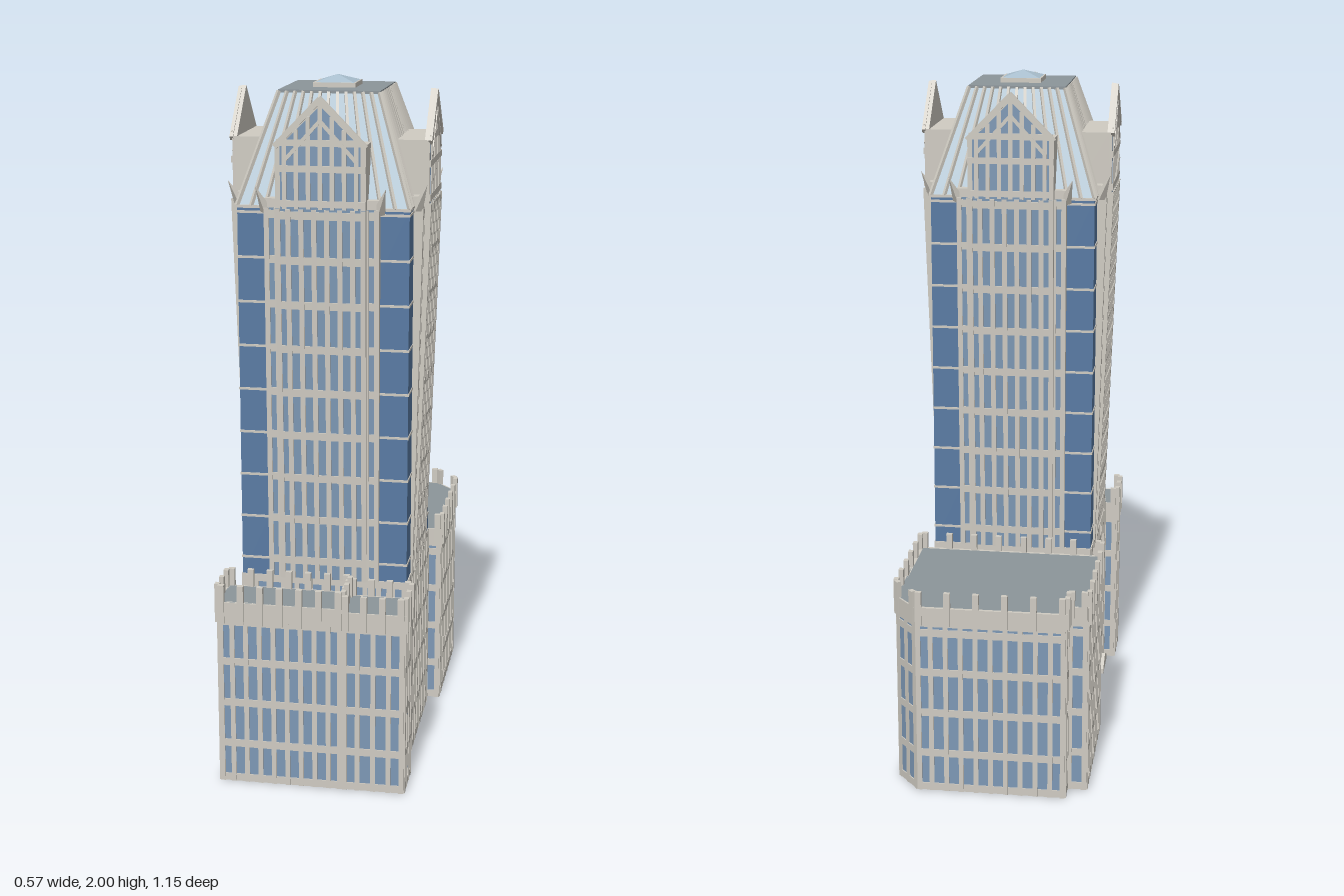
import * as THREE from 'three';
import { mergeGeometries } from 'three/addons/utils/BufferGeometryUtils.js';

const mat = (color) => new THREE.MeshStandardMaterial({ color, flatShading: true });
const STONE = mat(0xcfcbc2), GLASS = mat(0x7d98b5), DARK = mat(0x587aa3);
const ROOF = mat(0x8c959a), PALE = mat(0xa9bfce);
const TOWER_Z = 0.167, HALF = 0.24, BASE_TOP = 0.58, SHAFT_TOP = 1.66, FLOOR = 0.126;

function add(parent, name, geometry, material, x = 0, y = 0, z = 0) {
  const m = new THREE.Mesh(geometry, material);
  m.name = name;
  m.position.set(x, y, z);
  parent.add(m);
  return m;
}

const box = (w, h, d, x, y, z) => new THREE.BoxGeometry(w, h, d).translate(x, y, z);

// Square bar running from a to b
function bar(a, b, w, d) {
  const dir = b.clone().sub(a), g = new THREE.BoxGeometry(w, d, dir.length());
  const o = new THREE.Object3D();
  o.position.copy(a).add(b).multiplyScalar(0.5);
  o.lookAt(b);
  o.updateMatrix();
  return g.applyMatrix4(o.matrix);
}

// Stone grid of mullions and floor bands on a wall in the XY plane, facing +z
function grid(w, h, cols, bands, rib = 0.014, band = 0.022) {
  const parts = [];
  for (let i = 0; i <= cols; i++) {
    const edge = i === 0 ? 0.5 : i === cols ? -0.5 : 0;
    parts.push(box(rib, h, 0.006, -w / 2 + (w * i) / cols + edge * rib, h / 2, 0.001));
  }
  for (const y of bands) parts.push(box(w, band, 0.004, 0, y, 0.001));
  return mergeGeometries(parts);
}

// Prism from corners [x, z], front edge running towards +x
function prism(pts, h) {
  const shape = new THREE.Shape(pts.map(([x, z]) => new THREE.Vector2(x, -z)));
  return new THREE.ExtrudeGeometry(shape, { depth: h, bevelEnabled: false }).rotateX(-Math.PI / 2);
}

// Low wing with window walls, a parapet and upright piers
function wing(name, pts, h, bandLow, pierLow, pierTop, pitch) {
  const g = new THREE.Group();
  g.name = name;
  add(g, 'wingBody', prism(pts, h - 0.004), [ROOF, GLASS], 0, 0.004, 0);
  add(g, 'wingFloor', prism(pts, 0.006), STONE);
  pts.forEach(([ax, az], i) => {
    const [bx, bz] = pts[(i + 1) % pts.length];
    const dx = bx - ax, dz = bz - az, len = Math.hypot(dx, dz);
    const wall = new THREE.Group();
    wall.name = 'wall';
    wall.position.set((ax + bx) / 2, 0, (az + bz) / 2);
    wall.rotation.y = Math.atan2(-dz, dx);
    add(wall, 'wallGrid', grid(len, bandLow, Math.max(1, Math.round(len / 0.042)), [0.012, 0.12, 0.247, 0.373, 0.495]), STONE);
    const parts = [box(len, h - bandLow, 0.01, 0, (h + bandLow) / 2, 0)];
    const n = Math.max(1, Math.round(len / pitch));
    for (let k = 0; k <= n; k++) {
      const x = -len / 2 + 0.01 + ((len - 0.02) * k) / n;
      parts.push(box(0.018, pierTop - pierLow, 0.014, x, (pierTop + pierLow) / 2, 0.003));
    }
    add(wall, 'parapet', mergeGeometries(parts), STONE);
    g.add(wall);
  });
  return g;
}

// Bay that flares outward towards its top
function bay(side, name, w, rBottom, rTop, cols) {
  const h = SHAFT_TOP - BASE_TOP, d = 0.08;
  const geo = new THREE.BoxGeometry(w, h, d), p = geo.attributes.position;
  for (let i = 0; i < p.count; i++) {
    if (p.getZ(i) > 0 && p.getY(i) < 0) p.setZ(i, d / 2 - (rTop - rBottom));
  }
  add(side, name, geo, [STONE, STONE, ROOF, STONE, GLASS, STONE], 0, BASE_TOP + h / 2, rTop - d / 2);
  const bands = Array.from({ length: 9 }, (_, i) => 0.055 + i * FLOOR);
  const face = add(side, name + 'Grid', grid(w, h, cols, bands), STONE, 0, BASE_TOP, rBottom);
  face.rotation.x = Math.atan((rTop - rBottom) / h);
}

// Gabled dormer above the bay
function dormer(side) {
  const W = 0.125, eave = 1.835, peak = 1.965, r = 0.28;
  add(side, 'dormerBox', box(2 * W, eave - SHAFT_TOP, 0.1, 0, (eave + SHAFT_TOP) / 2, 0.22), STONE);
  const pent = (w, top, e, bottom) => new THREE.Shape([[-w, bottom], [w, bottom], [w, e], [0, top], [-w, e]]
    .map(([x, y]) => new THREE.Vector2(x, y)));
  const slab = (s, d) => new THREE.ExtrudeGeometry(s, { depth: d, bevelEnabled: false });
  add(side, 'gable', slab(pent(W, peak, eave, SHAFT_TOP), 0.014), STONE, 0, 0, r - 0.016);
  add(side, 'gableGlass', slab(pent(W - 0.014, peak - 0.025, eave - 0.005, SHAFT_TOP), 0.002), GLASS, 0, 0, r - 0.003);
  // Window bars stop under the rake of the gable
  const parts = [], top = (x) => peak - 0.02 - Math.abs(x) * (peak - eave) / W;
  for (let i = -3; i <= 3; i++) {
    const x = i * 0.033, t = top(x);
    parts.push(box(0.012, t - SHAFT_TOP, 0.004, x, (t + SHAFT_TOP) / 2, r));
  }
  for (const y of [1.675, 1.77, 1.84]) {
    const half = Math.min(W, (peak - y) * W / (peak - eave));
    parts.push(box(2 * half, 0.018, 0.004, 0, y, r));
  }
  for (const s of [-1, 1]) {
    parts.push(bar(new THREE.Vector3(s * W, eave - 0.006, r), new THREE.Vector3(0, peak - 0.008, r), 0.01, 0.016));
    parts.push(bar(new THREE.Vector3(s * 0.1, 1.79, r), new THREE.Vector3(0, 1.9, r), 0.008, 0.01));
  }
  add(side, 'gableBars', mergeGeometries(parts), STONE);
}

function towerSide(k) {
  const side = new THREE.Group();
  side.name = 'towerSide';
  side.rotation.y = (k * Math.PI) / 2;
  add(side, 'baseGrid', grid(2 * HALF, BASE_TOP, 12, [0.012, 0.12, 0.247, 0.373, 0.5, 0.572]), STONE, 0, 0, HALF);
  bay(side, 'outerBay', 0.32, 0.242, 0.263, 9);
  bay(side, 'innerBay', 0.25, 0.246, 0.28, 7);
  dormer(side);
  for (const s of [-1, 1]) {
    // Leaning spikes on the shoulders of the bay
    add(side, 'shoulder', box(0.035, 0.03, 0.05, s * 0.143, SHAFT_TOP + 0.01, 0.235), STONE);
    const spike = add(side, 'spike', new THREE.ConeGeometry(0.018, 0.08, 4), STONE, s * 0.168, SHAFT_TOP + 0.025, 0.264);
    spike.rotation.set(0.42, 0, -s * 0.3);
  }
  // Ribs fanning down the hip roof
  const ribs = [];
  for (let i = 0; i <= 12; i++) {
    const t = i / 6 - 1;
    ribs.push(bar(new THREE.Vector3(t * 0.24, SHAFT_TOP, 0.241), new THREE.Vector3(t * 0.14, 1.964, 0.141), 0.008, 0.01));
  }
  add(side, 'roofRibs', mergeGeometries(ribs), STONE);
  return side;
}

export function createModel() {
  const model = new THREE.Group();
  model.name = 'skyscraper';

  // Tower shaft
  const tower = new THREE.Group();
  tower.name = 'tower';
  tower.position.z = TOWER_Z;
  model.add(tower);
  add(tower, 'towerFloor', box(2 * HALF, 0.006, 2 * HALF, 0, 0.003, 0), STONE);
  add(tower, 'base', box(2 * HALF, BASE_TOP - 0.004, 2 * HALF, 0, BASE_TOP / 2 + 0.002, 0), GLASS);
  add(tower, 'shaft', box(2 * HALF, SHAFT_TOP - BASE_TOP, 2 * HALF, 0, (SHAFT_TOP + BASE_TOP) / 2, 0), DARK);
  const lines = [];
  for (let i = 0; i < 9; i++) lines.push(box(0.484, 0.007, 0.484, 0, 0.635 + i * FLOOR, 0));
  lines.push(box(0.488, 0.008, 0.488, 0, SHAFT_TOP - 0.002, 0));
  add(tower, 'floorLines', mergeGeometries(lines), STONE);
  for (let k = 0; k < 4; k++) tower.add(towerSide(k));

  // Hip roof and skylight
  const pyramid = (top, bottom, h) =>
    new THREE.CylinderGeometry(top * Math.SQRT2, bottom * Math.SQRT2, h, 4).rotateY(Math.PI / 4);
  add(tower, 'hipRoof', pyramid(0.14, HALF, 0.305), PALE, 0, SHAFT_TOP + 0.1525, 0);
  add(tower, 'roofDeck', box(0.285, 0.008, 0.285, 0, 1.964, 0), ROOF);
  add(tower, 'skylightBase', box(0.12, 0.014, 0.12, 0, 1.974, 0), STONE);
  add(tower, 'skylight', pyramid(0, 0.058, 0.02), PALE, 0, 1.99, 0);

  // Entrance canopy on the right side
  const canopy = new THREE.Shape([[-0.06, 0], [0.06, 0], [0.06, 0.015], [0, 0.045], [-0.06, 0.015]]
    .map(([x, y]) => new THREE.Vector2(x, y)));
  const porch = add(tower, 'canopy', new THREE.ExtrudeGeometry(canopy, { depth: 0.03, bevelEnabled: false }), STONE, -HALF, 0.085, 0);
  porch.rotation.y = -Math.PI / 2;

  // Wings
  model.add(wing('backWing', [[-0.277, -0.105], [0.277, -0.105], [0.277, -0.49], [0.21, -0.568],
    [-0.22, -0.565], [-0.22, -0.507], [-0.277, -0.507]], 0.572, 0.515, 0.52, 0.62, 0.08));
  model.add(wing('frontWingRight', [[-0.277, 0.567], [0.08, 0.567], [0.08, 0.435], [-0.277, 0.435]], 0.553, 0.5, 0.49, 0.605, 0.06));
  model.add(wing('frontWingLeft', [[0.08, 0.567], [0.258, 0.567], [0.258, 0.435], [0.08, 0.435]], 0.545, 0.5, 0.49, 0.595, 0.06));
  return model;
}
